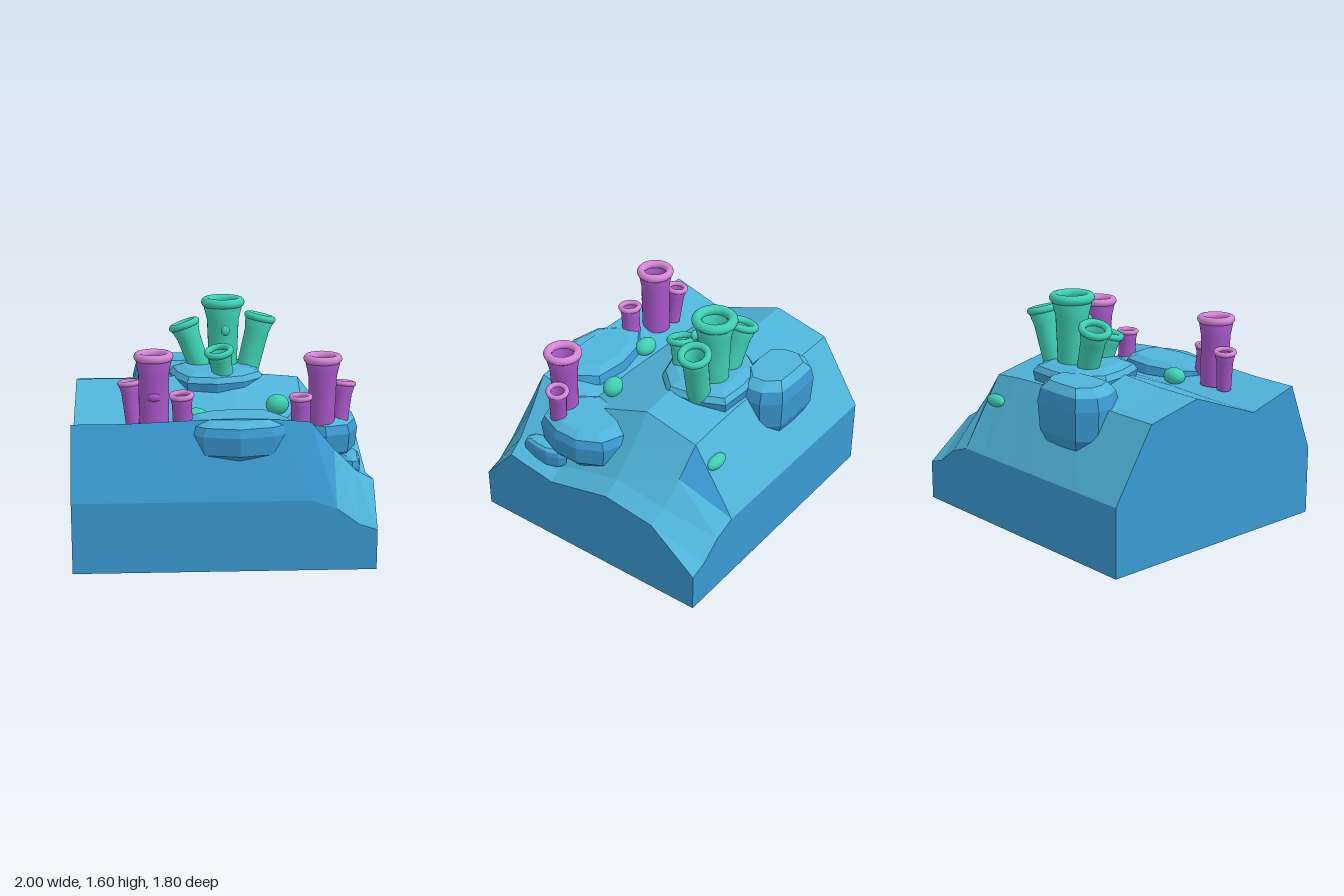
import * as THREE from 'three';

const mat = (name, color, side = THREE.FrontSide) => {
  const m = new THREE.MeshStandardMaterial({ color, side });
  m.name = name;
  return m;
};

// Collects flat quads and sorts them by slope: gentle faces go to the top colour
function facetMesh(name, quads, materials) {
  const sides = [], tops = [];
  const a = new THREE.Vector3(), b = new THREE.Vector3();
  for (const [p, q, r, s] of quads) {
    for (const t of [[p, q, r], [p, r, s]]) {
      a.subVectors(t[1], t[0]);
      b.subVectors(t[2], t[0]);
      const n = a.cross(b);
      if (n.length() < 1e-9) continue;
      const list = n.normalize().y > 0.45 ? tops : sides;
      t.forEach(v => list.push(v.x, v.y, v.z));
    }
  }
  const g = new THREE.BufferGeometry();
  g.setAttribute('position', new THREE.Float32BufferAttribute([...sides, ...tops], 3));
  g.addGroup(0, sides.length / 3, 0);
  g.addGroup(sides.length / 3, tops.length / 3, 1);
  g.computeVertexNormals();
  const mesh = new THREE.Mesh(g, materials);
  mesh.name = name;
  return mesh;
}

// Ridged ground: one z profile, scaled in height along x, closed down to y = 0
function ground(materials) {
  const columns = [[-1, 1, 1], [-0.65, 1, 1], [-0.2, 1.02, 1], [0.1, 1.03, 1], [0.35, 1.02, 1],
    [0.57, 1, 1], [0.73, 0.8, 0.88], [0.88, 0.64, 0.65], [1, 0.57, 0.57]];
  const profile = [[-0.9, 0.48, -0.9], [-0.6, 0.96, -0.56], [-0.2, 1.05, -0.18],
    [0.33, 0.85, 0.3], [0.71, 0.96, 0.66], [0.9, 0.48, 0.9]];
  const last = profile.length - 1, end = columns.length - 1;
  const grid = columns.map(([x, inner, rim]) => profile.map(([z, y, zEnd], j) => {
    const edge = j === 0 || j === last;
    const t = Math.max(0, (x - 0.57) / 0.43);
    return new THREE.Vector3(x, y * (edge ? Math.min(rim, 1) : inner), z + (zEnd - z) * t);
  }));
  const quads = [];
  for (let i = 0; i < end; i++) {
    for (let j = 0; j < last; j++) {
      quads.push([grid[i][j], grid[i][j + 1], grid[i + 1][j + 1], grid[i + 1][j]]);
    }
  }
  // Walls follow the rim around: front, right, back, left
  const rim = [
    ...grid.map(c => c[last]),
    ...[...grid[end]].reverse(),
    ...[...grid].reverse().map(c => c[0]),
    ...grid[0],
  ];
  const foot = v => new THREE.Vector3(v.x, 0, v.z);
  rim.forEach((p, i) => {
    const q = rim[(i + 1) % rim.length];
    quads.push([foot(p), foot(q), q, p]);
  });
  quads.push([[-1, -0.9], [1, -0.9], [1, 0.9], [-1, 0.9]].map(([x, z]) => new THREE.Vector3(x, 0, z)));
  return facetMesh('ground', quads, materials);
}

// Chamfered stone with slightly uneven outline
function boulder(name, centre, half, seed, materials) {
  const n = 10;
  const rings = [[-1, 0.72], [-0.55, 0.95], [0.35, 1], [0.75, 0.92], [1, 0.7]];
  const pts = rings.map(([h, r]) => Array.from({ length: n }, (_, i) => {
    const a = (i + 0.5) / n * Math.PI * 2;
    const c = Math.cos(a), s = Math.sin(a);
    const k = r * (1.02 + 0.06 * Math.sin(i * 2.3 + seed)) / Math.pow(c ** 4 + s ** 4, 0.12);
    return new THREE.Vector3(centre[0] + half[0] * k * c, centre[1] + half[1] * h, centre[2] + half[2] * k * s);
  }));
  const quads = [];
  const low = new THREE.Vector3(centre[0], centre[1] - half[1], centre[2]);
  const high = new THREE.Vector3(centre[0], centre[1] + half[1], centre[2]);
  for (let i = 0; i < n; i++) {
    const j = (i + 1) % n;
    for (let k = 0; k < rings.length - 1; k++) {
      quads.push([pts[k][i], pts[k + 1][i], pts[k + 1][j], pts[k][j]]);
    }
    quads.push([low, pts[0][i], pts[0][j], pts[0][j]]);
    quads.push([high, pts[rings.length - 1][j], pts[rings.length - 1][i], pts[rings.length - 1][i]]);
  }
  return facetMesh(name, quads, materials);
}

// Open tapering tube with a rounded lip, from a base point to a top point
function tubeCoral(name, base, top, r0, r1, bodyMat, lipMat) {
  const g = new THREE.Group();
  g.name = name;
  const from = new THREE.Vector3(...base), axis = new THREE.Vector3(...top).sub(from);
  const lip = r1 * 0.22, h = axis.length() - lip;
  const mid = r1 - lip;
  const outer = [[r0, 0], [r0 + (mid - r0) * 0.3, h * 0.4], [r0 + (mid - r0) * 0.65, h * 0.75], [mid + lip * 0.7, h]];
  const inner = outer.map(([r, y]) => [r - lip * 1.2, y]).reverse();
  const body = new THREE.Mesh(
    new THREE.LatheGeometry([...outer, ...inner].map(p => new THREE.Vector2(...p)), 28), bodyMat);
  body.name = 'tubeBody';
  const ring = new THREE.Mesh(new THREE.TorusGeometry(mid, lip, 12, 32), lipMat);
  ring.name = 'tubeLip';
  ring.rotation.x = Math.PI / 2;
  ring.position.y = h;
  g.add(body, ring);
  g.position.copy(from);
  g.quaternion.setFromUnitVectors(new THREE.Vector3(0, 1, 0), axis.normalize());
  return g;
}

function blob(name, p, s, material) {
  const m = new THREE.Mesh(new THREE.SphereGeometry(1, 20, 14), material);
  m.name = name;
  m.position.set(...p);
  m.scale.set(...s);
  return m;
}

export function createModel() {
  const model = new THREE.Group();
  model.name = 'coralReef';
  const rock = [mat('rockSide', 0x3a9ad3), mat('rockTop', 0x4fb3d9)];
  const green = mat('greenCoral', 0x3fcfb4, THREE.DoubleSide);
  const purple = mat('purpleCoral', 0xa657c8, THREE.DoubleSide);
  const pink = mat('pinkLip', 0xd585d8);

  model.add(ground(rock));

  // Stones set into the ground
  [
    ['backBoulder', [-0.32, 0.89, -0.63], [0.29, 0.22, 0.2], 1],
    ['summitSlab', [-0.01, 1.02, -0.29], [0.32, 0.1, 0.31], 2],
    ['frontSlab', [0.1, 0.84, 0.6], [0.38, 0.14, 0.235], 3],
    ['leftBoulder', [0.69, 0.765, 0.22], [0.255, 0.145, 0.31], 4],
    ['smallStone', [0.865, 0.595, 0.45], [0.07, 0.08, 0.17], 5],
  ].forEach(([name, c, h, seed]) => model.add(boulder(name, c, h, seed, rock)));

  // Green tube cluster on the summit
  const greens = new THREE.Group();
  greens.name = 'greenCluster';
  [
    [[0.045, 1.06, -0.365], [0.045, 1.6, -0.365], 0.1, 0.155],
    [[-0.11, 1.06, -0.37], [-0.24, 1.42, -0.4], 0.075, 0.115],
    [[0.22, 1.06, -0.37], [0.32, 1.47, -0.4], 0.08, 0.115],
    [[0.04, 1.05, -0.11], [0, 1.29, -0.06], 0.072, 0.105],
  ].forEach(([b, t, r0, r1]) => greens.add(tubeCoral('greenTube', b, t, r0, r1, green, green)));
  greens.add(blob('greenBud', [0.055, 1.385, -0.21], [0.032, 0.037, 0.025], green));
  model.add(greens);

  // Purple tube clusters on either side
  const clusters = {
    rightPurpleCluster: [
      [[-0.455, 0.9, 0.51], [-0.455, 1.395, 0.515], 0.1, 0.132],
      [[-0.595, 0.9, 0.46], [-0.62, 1.19, 0.44], 0.05, 0.08],
      [[-0.265, 0.9, 0.59], [-0.275, 1.14, 0.61], 0.065, 0.085],
    ],
    leftPurpleCluster: [
      [[0.675, 0.84, 0.42], [0.675, 1.35, 0.425], 0.085, 0.13],
      [[0.52, 0.86, 0.56], [0.515, 1.11, 0.57], 0.065, 0.08],
      [[0.8, 0.86, 0.38], [0.835, 1.15, 0.345], 0.055, 0.08],
    ],
  };
  for (const [name, tubes] of Object.entries(clusters)) {
    const g = new THREE.Group();
    g.name = name;
    tubes.forEach(([b, t, r0, r1]) => g.add(tubeCoral('purpleTube', b, t, r0, r1, purple, pink)));
    model.add(g);
  }
  model.add(blob('purpleBud', [-0.455, 1.11, 0.53], [0.07, 0.05, 0.1], purple));
  model.add(blob('smallPurpleBud', [-0.605, 1.08, 0.45], [0.05, 0.04, 0.05], purple));

  // Loose green buds
  [
    [[0.475, 0.81, -0.7], [0.088, 0.045, 0.045]],
    [[0.39, 0.96, 0.235], [0.08, 0.07, 0.062]],
    [[-0.175, 0.92, 0.39], [0.088, 0.06, 0.068]],
  ].forEach(([p, s]) => model.add(blob('greenBud', p, s, green)));

  return model;
}
